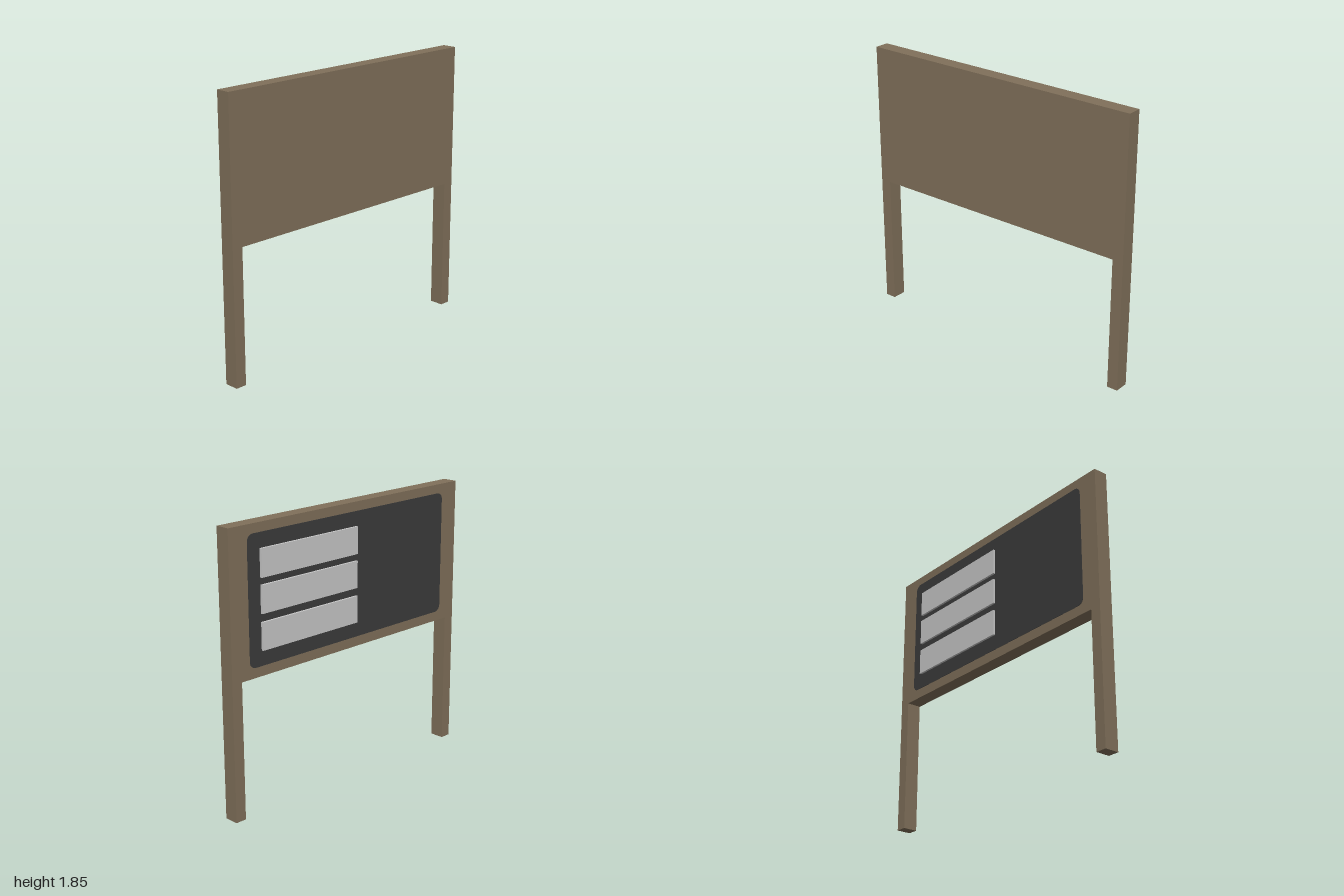
import * as THREE from 'three';

const W = 1, H = 1.85, LEG = 0.075, BOTTOM = 0.9;
const FRONT = 0.06, BACK = -0.038;

function mat(name, color) {
  const m = new THREE.MeshStandardMaterial({ color });
  m.name = name;
  return m;
}

function roundedRect(x0, y0, x1, y1, r) {
  const s = new THREE.Shape();
  s.absarc(x1 - r, y1 - r, r, 0, Math.PI / 2);
  s.absarc(x0 + r, y1 - r, r, Math.PI / 2, Math.PI);
  s.absarc(x0 + r, y0 + r, r, Math.PI, Math.PI * 1.5);
  s.absarc(x1 - r, y0 + r, r, Math.PI * 1.5, Math.PI * 2);
  s.closePath();
  return s;
}

export function createModel() {
  const group = new THREE.Group();
  group.name = 'noticeBoard';
  const wood = mat('brown wood', 0x80705a);
  const dark = mat('dark slate', 0x3c3c3c);
  const grey = mat('light grey', 0xc8c8c8);

  const add = (name, geometry, material, x = 0, y = 0, z = 0) => {
    const mesh = new THREE.Mesh(geometry, material);
    mesh.name = name;
    mesh.position.set(x, y, z);
    group.add(mesh);
  };

  // Board and two legs as one continuous outline
  const outline = new THREE.Shape([
    [-W, 0], [-W + LEG, 0], [-W + LEG, BOTTOM], [W - LEG, BOTTOM],
    [W - LEG, 0], [W, 0], [W, H], [-W, H],
  ].map(([x, y]) => new THREE.Vector2(x, y)));
  add('boardWithLegs', new THREE.ExtrudeGeometry(outline, { depth: FRONT - BACK, bevelEnabled: false }),
    wood, 0, 0, BACK);

  // Dark rounded panel on the back
  const panel = roundedRect(-0.86, 0.965, 0.86, 1.79, 0.045);
  add('backPanel', new THREE.ExtrudeGeometry(panel, { depth: 0.003, bevelEnabled: false, curveSegments: 8 }),
    dark, 0, 0, BACK - 0.002);

  // Three name plates standing just off the panel
  for (const y of [1.607, 1.385, 1.155]) {
    add('plate', new THREE.BoxGeometry(0.805, 0.178, 0.015), grey, 0.367, y, -0.0515);
  }
  return group;
}
